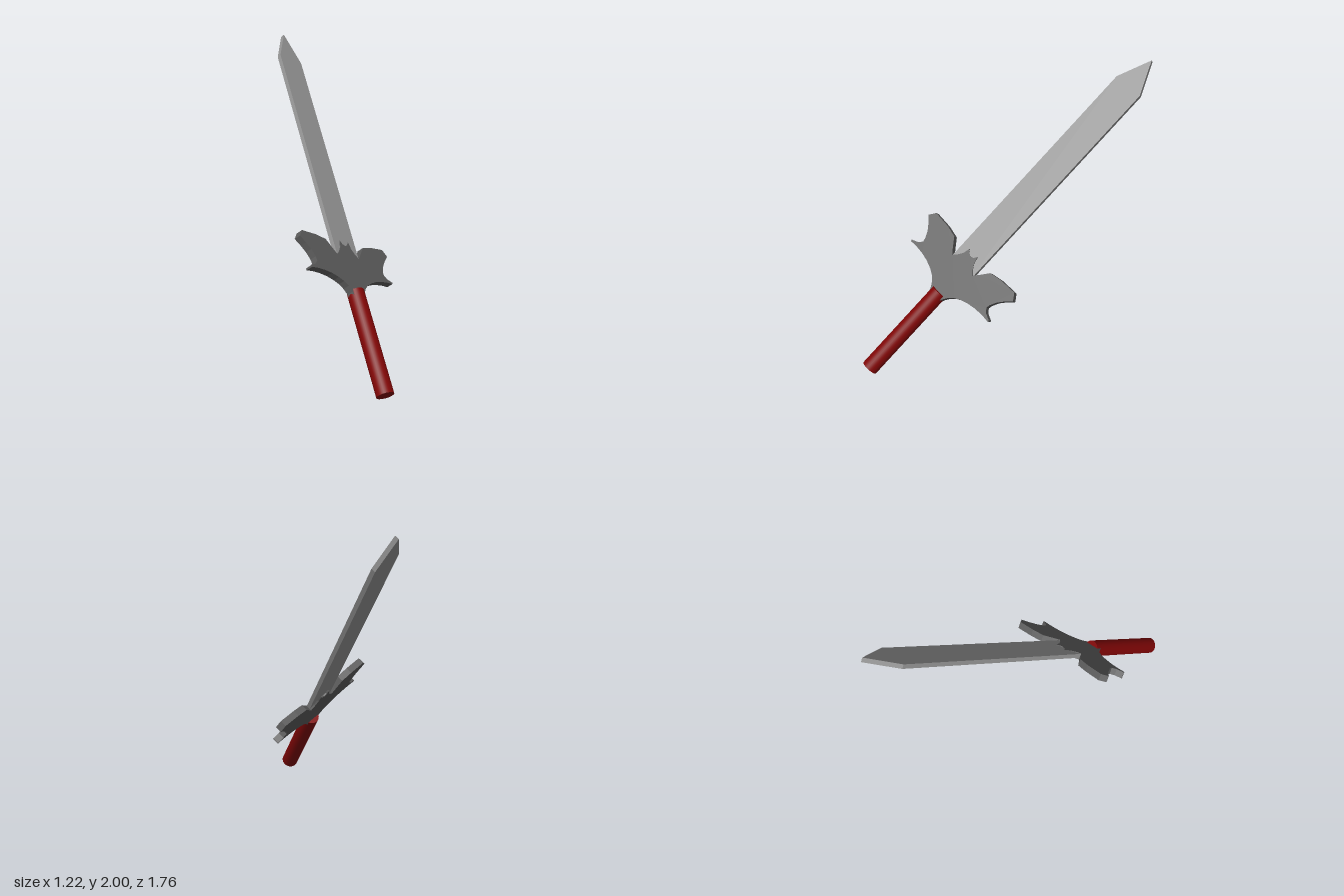
import * as THREE from 'three';

const STEEL = 0x939393, DARK_STEEL = 0x5c5c5c, RED = 0x800606;

function makeMesh(name, geometry, color, flatShading) {
  const mesh = new THREE.Mesh(geometry, new THREE.MeshStandardMaterial({ color, flatShading }));
  mesh.name = name;
  return mesh;
}

// Flat plate from the right half of a symmetric outline, centred on its thickness.
// Points on the centre line are not repeated.
function mirroredPlate(half, depth) {
  const left = half.filter(([x]) => x > 0).map(([x, y]) => [-x, y]).reverse();
  const shape = new THREE.Shape([...half, ...left].map(([x, y]) => new THREE.Vector2(x, y)));
  const geometry = new THREE.ExtrudeGeometry(shape, { depth, bevelEnabled: false });
  return geometry.translate(0, 0, -depth / 2);
}

export function createModel() {
  const sword = new THREE.Group();
  sword.name = 'sword';

  // Round grip, standing on the local origin
  const grip = makeMesh('grip', new THREE.CylinderGeometry(0.058, 0.058, 0.72, 32), RED, false);
  grip.position.y = 0.36;

  // Wing-shaped guard with a small two-pointed crown over the blade
  const guardHalf = [
    [0.05, 0.67], [0.06, 0.7], [0.085, 0.738], [0.118, 0.767], [0.161, 0.79], [0.22, 0.81],
    [0.282, 0.822], [0.35, 0.826], [0.406, 0.823],            // lower sweep
    [0.41, 0.834], [0.36, 0.855], [0.335, 0.882], [0.34, 0.91],
    [0.365, 0.958], [0.4, 1.0], [0.442, 1.041],               // notch between the feathers
    [0.407, 1.088], [0.277, 1.082], [0.188, 1.064],
    [0.14, 1.003], [0.108, 0.966],                            // upper feather
    [0.078, 0.995], [0.055, 1.03], [0.042, 1.08], [0.025, 1.055], [0, 1.046], // crown
  ];
  const guard = makeMesh('guard', mirroredPlate(guardHalf, 0.048), DARK_STEEL, true);

  // Straight blade with a pointed end
  const bladeHalf = [[0.109, 0.9], [0.109, 2.607], [0, 2.835]];
  const blade = makeMesh('blade', mirroredPlate(bladeHalf, 0.03), STEEL, true);
  blade.position.set(0.003, 0, 0.004);

  sword.add(grip, guard, blade);

  // Lean the whole sword: local y runs along the blade, local z out of its face
  const along = new THREE.Vector3(0.407, 0.686, -0.603).normalize();
  const out = new THREE.Vector3(0.905, -0.3946, 0.16).cross(along).normalize();
  const across = along.clone().cross(out);
  sword.quaternion.setFromRotationMatrix(new THREE.Matrix4().makeBasis(across, along, out));
  sword.position.set(-0.555, 0.042, 0.832);

  const model = new THREE.Group();
  model.name = 'leaningSword';
  model.add(sword);
  return model;
}
